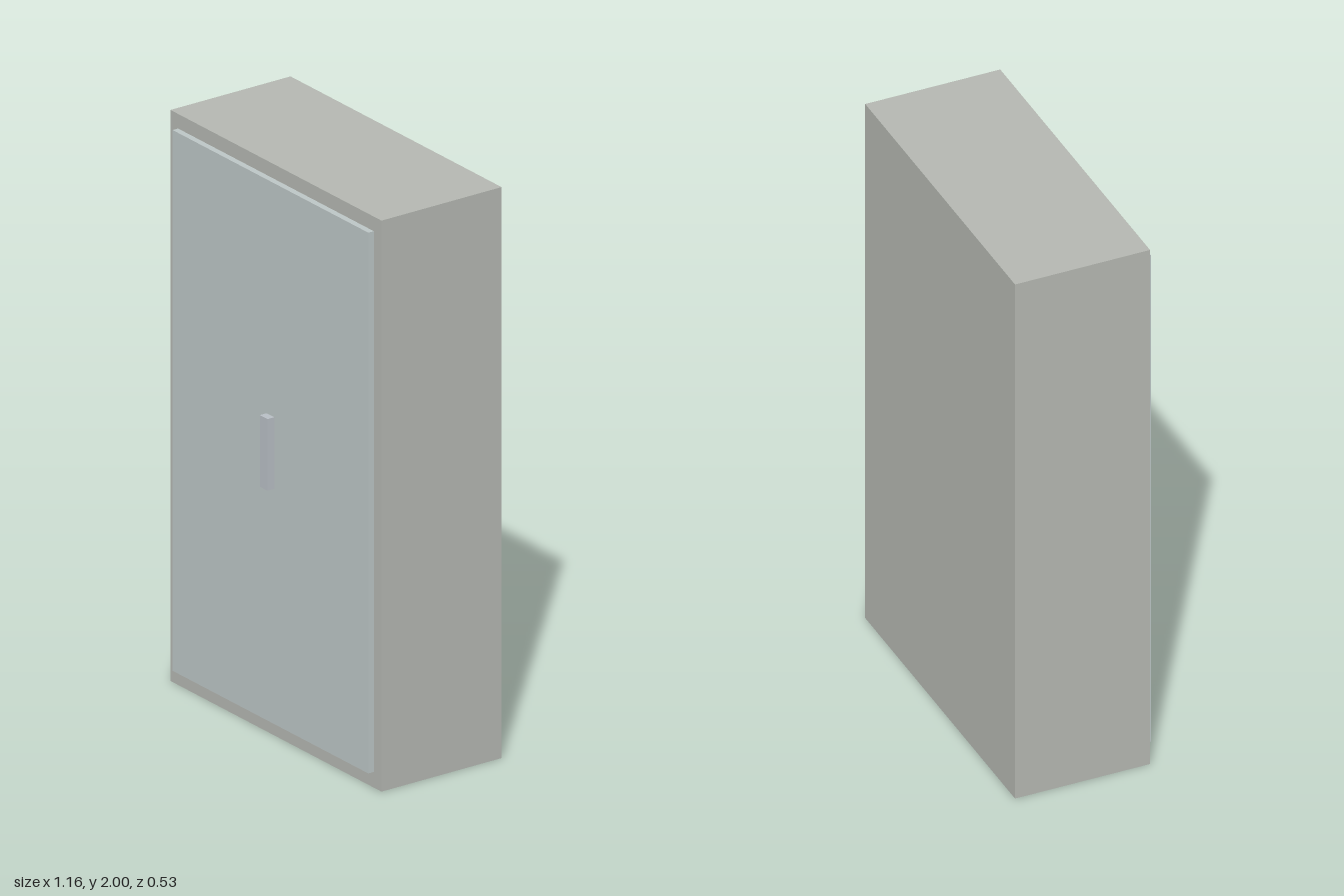
import * as THREE from 'three';

// Box spanning the given [min, max] range on each axis
function boxPart(name, color, [x0, x1], [y0, y1], [z0, z1]) {
  const mesh = new THREE.Mesh(
    new THREE.BoxGeometry(x1 - x0, y1 - y0, z1 - z0),
    new THREE.MeshStandardMaterial({ color })
  );
  mesh.position.set((x0 + x1) / 2, (y0 + y1) / 2, (z0 + z1) / 2);
  mesh.name = name;
  return mesh;
}

export function createModel() {
  const cabinet = new THREE.Group();
  cabinet.name = 'cabinet';

  const bodyFront = 0.216;
  const doorFront = 0.238;

  cabinet.add(
    // Solid case
    boxPart('body', 0xb4b7b1, [-0.579, 0.579], [0, 2], [-0.265, bodyFront]),
    // Raised door panel on the front
    boxPart('door', 0xbcc5c5, [-0.537, 0.537], [0.055, 1.949], [bodyFront, doorFront]),
    // Upright pull bar
    boxPart('handle', 0xb8bec4, [-0.021, 0.021], [0.879, 1.13], [doorFront, 0.265])
  );
  return cabinet;
}
